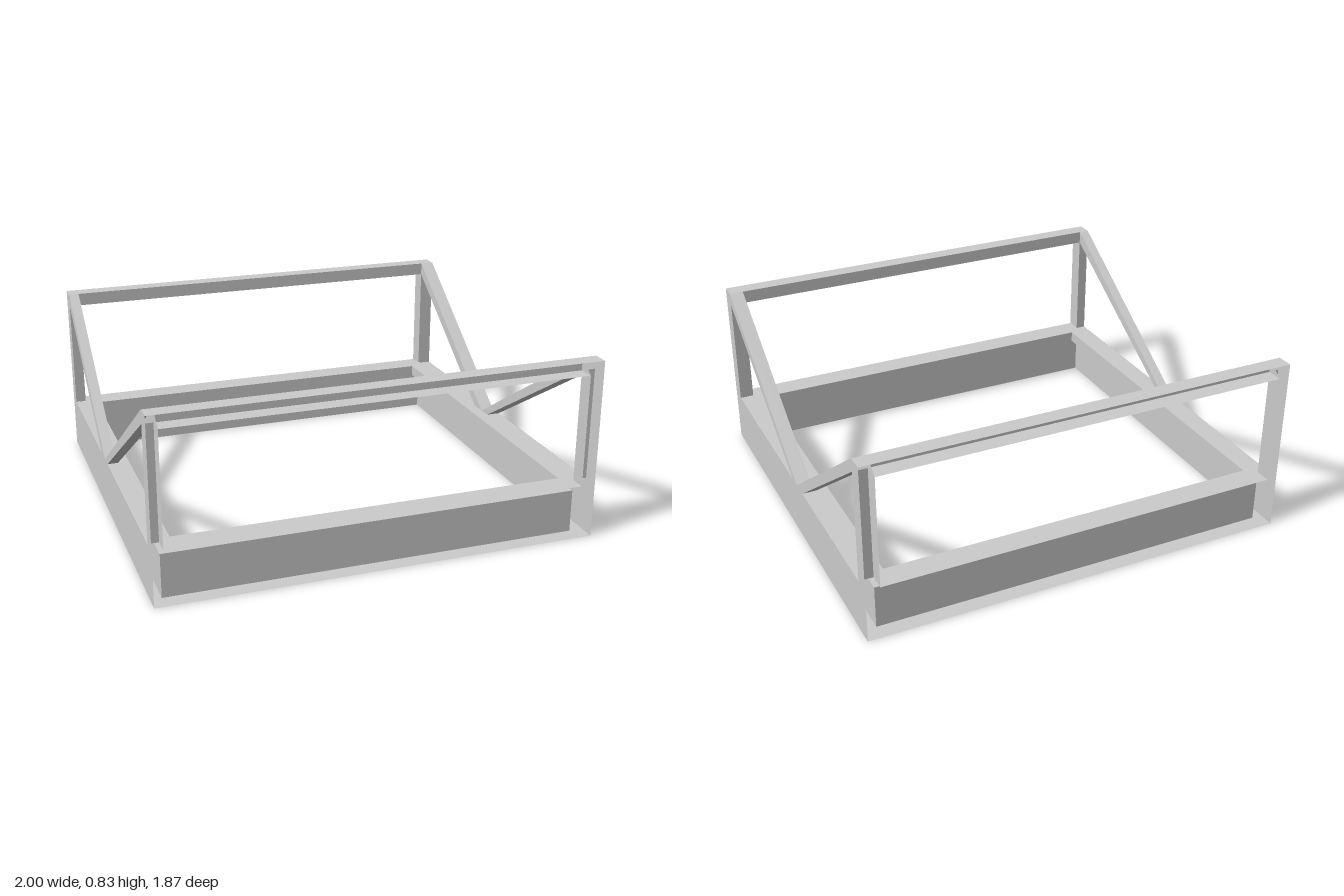
import * as THREE from 'three';

const material = new THREE.MeshStandardMaterial({ color: 0xcccccc, flatShading: true, side: THREE.DoubleSide });
const vec = (pts) => pts.map(([a, b]) => new THREE.Vector2(a, b));

// Outer size, post/brace thickness limits and opening of the frame
const X = 1, Z = 0.937, TOP = 0.83, BEAM = 0.77, RIM = 0.252, LEDGE = 0.2;
const MID = { x0: -0.952, x1: 0.935, z: 0.862 };
const OPEN = { x0: -0.9, x1: 0.88, z: 0.823 };

const rect = (x0, x1, z) => [[x0, -z], [x1, -z], [x1, z], [x0, z]];

export function createModel() {
  const model = new THREE.Group();
  model.name = 'hollowFrame';

  const add = (name, geometry) => {
    const mesh = new THREE.Mesh(geometry, material);
    mesh.name = name;
    model.add(mesh);
  };

  // Sheet swept between two levels along a list of 2D points
  const sheet = (pts, low, high, place) => {
    const pos = [];
    for (let i = 0; i < pts.length - 1; i++) {
      const a = place(pts[i], low), b = place(pts[i + 1], low);
      const c = place(pts[i + 1], high), d = place(pts[i], high);
      pos.push(...a, ...b, ...c, ...a, ...c, ...d);
    }
    const g = new THREE.BufferGeometry();
    g.setAttribute('position', new THREE.Float32BufferAttribute(pos, 3));
    g.computeVertexNormals();
    return g;
  };
  const acrossX = (pts, x0, x1) => sheet(pts, x0, x1, ([z, y], x) => [x, y, z]);
  const wallRing = (pts, y0, y1) => sheet([...pts, pts[0]], y0, y1, ([x, z], y) => [x, y, z]);

  // Flat plates, with holes
  const flat = (outline, holes = []) => {
    const s = new THREE.Shape(vec(outline));
    s.holes = holes.map((h) => new THREE.Path(vec(h)));
    return new THREE.ShapeGeometry(s);
  };
  const level = (outline, hole, y) => flat(outline, [hole]).rotateX(Math.PI / 2).translate(0, y, 0);
  const upright = (outline, holes, x) => flat(outline, holes).rotateY(-Math.PI / 2).translate(x, 0, 0);

  // Base: hollow ring with an inward lip, open at front and back;
  // the top is notched at the corners where the hollow posts rise
  const outer = rect(-X, X, Z);
  const middle = rect(MID.x0, MID.x1, MID.z);
  const opening = rect(OPEN.x0, OPEN.x1, OPEN.z);
  const notched = [
    [MID.x0, -Z], [MID.x1, -Z], [MID.x1, -MID.z], [X, -MID.z],
    [X, MID.z], [MID.x1, MID.z], [MID.x1, Z], [MID.x0, Z],
    [MID.x0, MID.z], [-X, MID.z], [-X, -MID.z], [MID.x0, -MID.z],
  ];
  add('baseTop', level(notched, opening, RIM));
  add('baseBottom', level(outer, middle, 0));
  add('baseWall', wallRing(middle, 0, LEDGE));
  add('lipUnderside', level(middle, opening, LEDGE));
  add('lipEdge', wallRing(opening, LEDGE, RIM));

  // Side profile in z and y: posts at the ends, braces meeting in a V
  const V = [-0.06, RIM];
  const profile = [[-Z, 0], [Z, 0], [Z, TOP], [MID.z, TOP], V, [-MID.z, TOP], [-Z, TOP]];
  const windows = [
    [[0.005, RIM + 0.001], [MID.z, RIM + 0.001], [MID.z, BEAM]],
    [[-0.14, RIM + 0.001], [-MID.z, RIM + 0.001], [-MID.z, BEAM]],
  ];

  for (const [side, xOut, xIn] of [['left', X, MID.x1], ['right', -X, MID.x0]]) {
    add(side + 'OuterPlate', upright(profile, windows, xOut));
    add(side + 'BraceTops', acrossX([[MID.z, TOP], V, [-MID.z, TOP]], xOut, xIn));
    windows.forEach(([foot, corner, peak], i) => {
      const s = i === 0 ? 1 : -1;
      const end = i === 0 ? 'Front' : 'Back';
      // Post face and brace underside
      add(side + end + 'WindowRim', acrossX([corner, peak, foot], xOut, xIn));
      // Inner cheek of post and brace
      add(side + end + 'InnerPlate', upright(
        [[s * Z, RIM], [s * Z, BEAM], [s * MID.z, TOP], V, foot, peak, corner], [], xIn));
    });
  }

  // Cross beams: channels open to the outside
  for (const [name, s] of [['frontBeam', 1], ['backBeam', -1]]) {
    add(name + 'Top', acrossX([[s * Z, TOP], [s * MID.z, TOP]], -X, X));
    add(name + 'Channel', acrossX(
      [[s * MID.z, TOP], [s * MID.z, BEAM], [s * Z, BEAM]], MID.x0, MID.x1));
  }
  return model;
}
